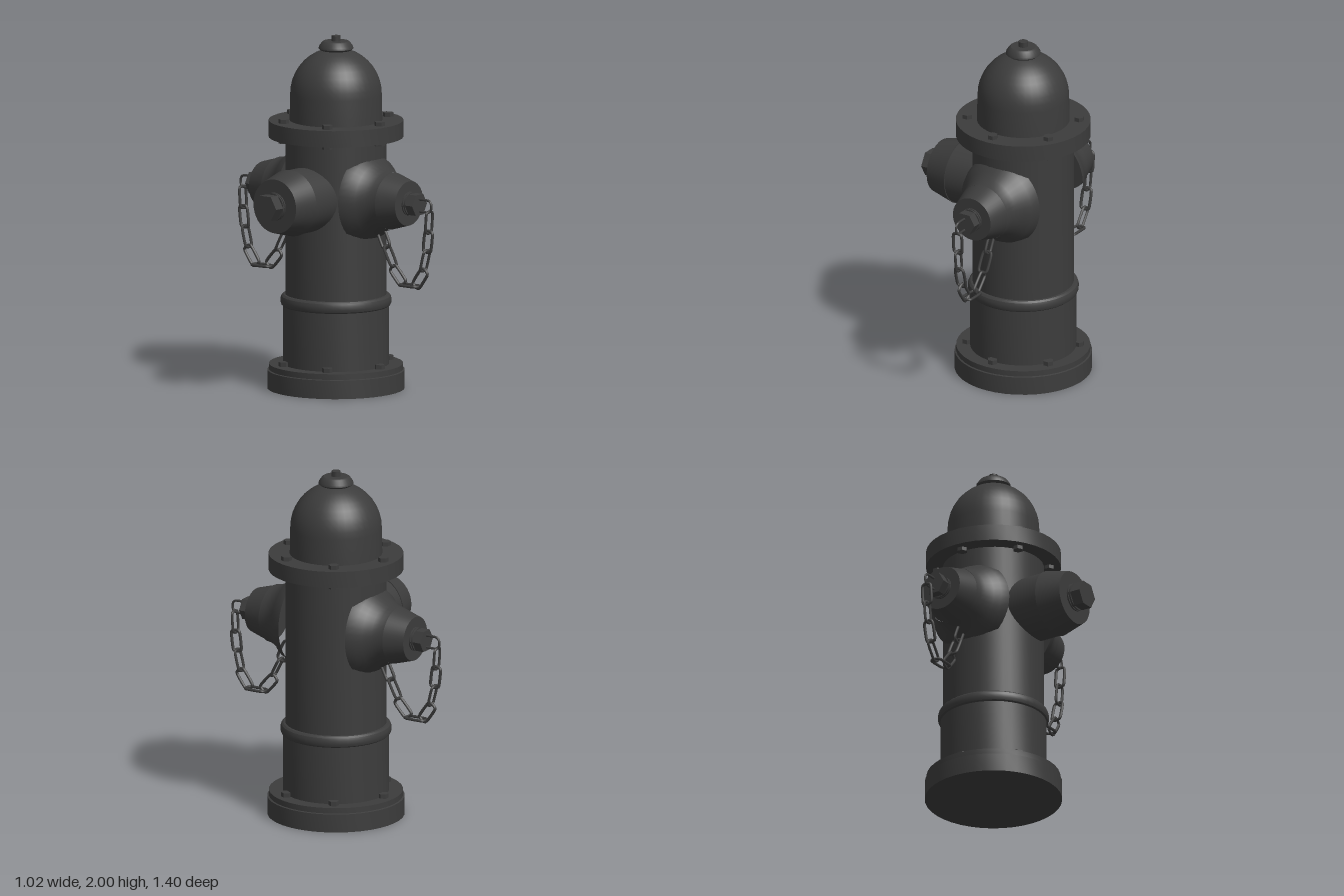
import * as THREE from 'three';
import { toCreasedNormals } from 'three/addons/utils/BufferGeometryUtils.js';

const AXIS_X = 0.12; // the barrel stands off-centre because of the large side outlet
const material = new THREE.MeshStandardMaterial({ color: 0x3c3c3c });

function mesh(name, geometry, parent) {
  const m = new THREE.Mesh(geometry, material);
  m.name = name;
  parent.add(m);
  return m;
}

// Turned part from [radius, height] pairs, with sharp edges kept
function turned(profile, segments = 40) {
  const points = profile.map(([r, y]) => new THREE.Vector2(r, y));
  return toCreasedNormals(new THREE.LatheGeometry(points, segments), 0.5);
}

// Same, but lying along +z
const turnedZ = (profile, segments) => turned(profile, segments).rotateX(Math.PI / 2);

// Hexagonal prism with corners on x
function hexPrism(radius, height) {
  const g = new THREE.CylinderGeometry(radius, radius, height, 6).rotateY(Math.PI / 6);
  return toCreasedNormals(g, 0.5);
}

// Six bolts on a circle
function boltCircle(name, y, height, parent) {
  const ring = new THREE.Group();
  ring.name = name;
  for (let i = 0; i < 6; i++) {
    const a = Math.PI / 6 + (i * Math.PI) / 3;
    const bolt = mesh('bolt', hexPrism(0.03, height), ring);
    bolt.position.set(0.313 * Math.cos(a), y, 0.313 * Math.sin(a));
  }
  parent.add(ring);
}

// Oval wire link, long along y, flat in the xy plane
function linkGeometry(width, length, wire) {
  const r = width / 2 - wire;
  const h = length / 2 - wire;
  const c = r * 0.55;
  const corners = [[r, -h + c], [r, h - c], [r - c, h], [c - r, h],
    [-r, h - c], [-r, c - h], [c - r, -h], [r - c, -h]];
  const curve = new THREE.CatmullRomCurve3(
    corners.map(([x, y]) => new THREE.Vector3(x, y, 0)), true, 'catmullrom', 0.4);
  return new THREE.TubeGeometry(curve, 32, wire, 6, true);
}

// Hanging chain in the local yz plane, links turned alternately
function addChain(parent) {
  const chain = new THREE.Group();
  chain.name = 'chain';
  const spots = [[0.668, 1.01], [0.66, 0.9], [0.64, 0.79], [0.605, 0.685], [0.53, 0.637],
    [0.445, 0.685], [0.39, 0.79], [0.34, 0.89], [0.30, 0.98]]
    .map(([z, y]) => new THREE.Vector3(0, y, z));
  const across = new THREE.Vector3(1, 0, 0);
  const geometry = linkGeometry(0.072, 0.138, 0.0085);
  for (let i = 0; i < spots.length - 1; i++) {
    const along = spots[i + 1].clone().sub(spots[Math.max(i - 1, 0)]).normalize();
    const side = i % 2 ? new THREE.Vector3().crossVectors(across, along) : across;
    const link = mesh('chainLink', geometry, chain);
    link.quaternion.setFromRotationMatrix(new THREE.Matrix4().makeBasis(
      side, along, new THREE.Vector3().crossVectors(side, along)));
    link.position.copy(spots[i]);
  }
  // Wire shackle joining the chain to the cap nut
  const shackle = mesh('shackle', linkGeometry(0.08, 0.12, 0.007).rotateY(Math.PI / 2), chain);
  shackle.rotation.x = Math.PI / 2;
  shackle.position.set(0, 1.1, 0.63);
  parent.add(chain);
}

// Outlet pointing along +z: neck, tapered cap, washers and nut
function addOutlet(name, o, parent) {
  const outlet = new THREE.Group();
  outlet.name = name;
  const parts = new THREE.Group();
  parts.name = 'outletFittings';
  parts.position.y = 1.103;
  mesh('neck', turnedZ(o.neck), parts);
  mesh('cap', turnedZ([[0, o.capStart], [o.capBase, o.capStart], [o.capEnd, o.end], [0, o.end]]), parts);
  const n = o.nut;
  mesh('washers', turnedZ([[n, o.end - 0.01], [n, o.end + 0.008], [n * 0.9, o.end + 0.009],
    [n * 0.9, o.end + 0.014], [n, o.end + 0.015], [n, o.end + 0.023], [0, o.end + 0.023]], 24), parts);
  const nut = mesh('capNut', hexPrism(n, o.nutEnd - o.end).rotateX(Math.PI / 2), parts);
  nut.position.z = (o.nutEnd + o.end) / 2;
  outlet.add(parts);
  if (o.chain) addChain(outlet);
  outlet.rotation.y = o.turn;
  parent.add(outlet);
}

export function createModel() {
  const hydrant = new THREE.Group();
  hydrant.name = 'hydrant';
  const body = new THREE.Group();
  body.name = 'body';
  body.position.x = AXIS_X;
  hydrant.add(body);

  // Foot and barrel
  mesh('base', turned([[0, 0], [0.385, 0], [0.385, 0.105], [0.376, 0.108], [0.376, 0.14], [0, 0.14]]), body);
  mesh('lowerBarrel', turned([[0.298, 0.13], [0.298, 0.49]]), body);
  mesh('barrelRing', turned([[0.296, 0.468], [0.306, 0.476], [0.311, 0.49], [0.311, 0.51],
    [0.306, 0.525], [0.296, 0.534], [0.28, 0.536]]), body);
  mesh('upperBarrel', turned([[0.284, 0.5], [0.284, 1.44]]), body);

  // Flange
  mesh('flange', turned([[0, 1.428], [0.378, 1.428], [0.378, 1.522], [0, 1.522]]), body);
  boltCircle('flangeBolts', 1.476, 0.138, body);
  boltCircle('baseBolts', 0.145, 0.04, body);

  // Domed bonnet
  const dome = [[0.26, 1.51], [0.257, 1.67]];
  for (let i = 1; i <= 10; i++) {
    const a = (i / 10) * (Math.PI / 2);
    dome.push([Math.max(0.257 * Math.cos(a), 0), 1.67 + 0.26 * Math.sin(a)]);
  }
  mesh('bonnet', turned(dome), body);
  mesh('bonnetCap', turned([[0, 1.918], [0.085, 1.918], [0.098, 1.928], [0.096, 1.94],
    [0.078, 1.965], [0.07, 1.97], [0, 1.97]], 32), body);
  const stem = mesh('stemNut', toCreasedNormals(new THREE.CylinderGeometry(0.026, 0.026, 0.05, 16), 0.5), body);
  stem.position.y = 1.975;

  // Two hose outlets, front and back
  for (const [name, turn] of [['frontOutlet', 0], ['backOutlet', Math.PI]]) {
    addOutlet(name, {
      neck: [[0.255, 0.22], [0.235, 0.27], [0.205, 0.30], [0.18, 0.345], [0.168, 0.375], [0.163, 0.41]],
      capStart: 0.405, capBase: 0.161, capEnd: 0.126, end: 0.525,
      nut: 0.067, nutEnd: 0.6, chain: true, turn,
    }, body);
  }

  // Large outlet on the right side
  addOutlet('sideOutlet', {
    neck: [[0.183, 0.15], [0.183, 0.41]],
    capStart: 0.407, capBase: 0.188, capEnd: 0.153, end: 0.547,
    nut: 0.079, nutEnd: 0.632, chain: false, turn: -Math.PI / 2,
  }, body);

  return hydrant;
}
